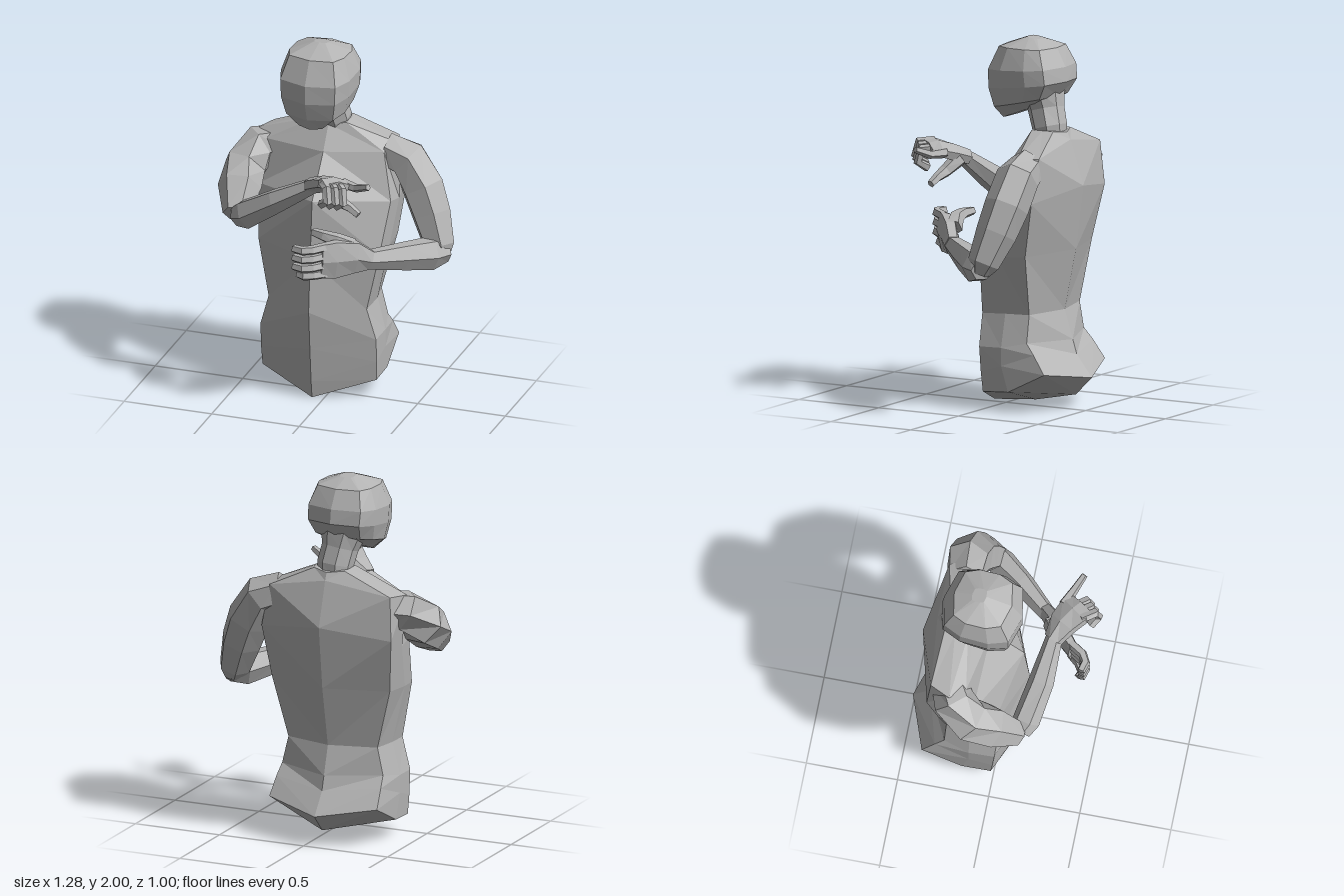
import * as THREE from 'three';

const skin = new THREE.MeshStandardMaterial({ color: 0xb4b4b4 });
skin.name = 'plain grey';
skin.flatShading = true;

const V = (x, y, z) => new THREE.Vector3(x, y, z);

// Joins closed rings of equal length (counter-clockwise about the loft direction), with fan caps.
function loft(name, rings, capStart = true, capEnd = true) {
  const out = [];
  const tri = (...p) => p.forEach((q) => out.push(q.x, q.y, q.z));
  const n = rings[0].length;
  for (let i = 0; i + 1 < rings.length; i++) {
    for (let j = 0; j < n; j++) {
      const k = (j + 1) % n;
      const [a, b, c, d] = [rings[i][j], rings[i][k], rings[i + 1][k], rings[i + 1][j]];
      // diagonals mirror between the two halves of a ring
      if (j < n / 2) { tri(a, b, d); tri(b, c, d); } else { tri(a, b, c); tri(a, c, d); }
    }
  }
  const cap = (ring, flip) => {
    const mid = ring.reduce((s, p) => s.add(p), V(0, 0, 0)).divideScalar(n);
    ring.forEach((p, j) => {
      const q = ring[(j + 1) % n];
      if (flip) tri(mid, q, p); else tri(mid, p, q);
    });
  };
  if (capStart) cap(rings[0], true);
  if (capEnd) cap(rings[rings.length - 1], false);
  const geo = new THREE.BufferGeometry();
  geo.setAttribute('position', new THREE.Float32BufferAttribute(out, 3));
  geo.computeVertexNormals();
  const mesh = new THREE.Mesh(geo, skin);
  mesh.name = name;
  return mesh;
}

// Limb along a path of [x, y, z, radius along side, radius across].
function limb(name, path, sides, side) {
  const pts = path.map((p) => V(p[0], p[1], p[2]));
  const rings = path.map(([, , , ru, rv = ru], i) => {
    const t = pts[Math.min(i + 1, pts.length - 1)].clone().sub(pts[Math.max(i - 1, 0)]).normalize();
    const u = V(...side).addScaledVector(t, -V(...side).dot(t)).normalize();
    const v = t.clone().cross(u);
    return Array.from({ length: sides }, (_, j) => {
      const a = ((j + 0.5) / sides) * Math.PI * 2;
      return pts[i].clone().addScaledVector(u, Math.cos(a) * ru).addScaledVector(v, Math.sin(a) * rv);
    });
  });
  return loft(name, rings);
}

// Full ring from a half outline running front centre, model's left side, back centre.
const mirrorRing = (half) => [
  ...half.map((p) => V(...p)),
  ...half.slice(1, -1).reverse().map(([x, y, z]) => V(-x, y, z)),
];

function makeTorso() {
  const halves = [
    // underside ridge, then hips, waist, ribs, chest, shoulders and collar
    [[0, 0, 0.11], [0, 0.02, -0.15], [0, 0.02, -0.15], [0, 0.07, -0.4], [0, 0.17, -0.5]],
    [[0, 0, 0.11], [0.325, 0.1, -0.01], [0.33, 0.11, -0.17], [0.32, 0.22, -0.39], [0, 0.17, -0.5]],
    [[0, 0.1, 0.125], [0.33, 0.21, 0], [0.335, 0.25, -0.13], [0.31, 0.32, -0.32], [0, 0.29, -0.405]],
    [[0, 0.3, 0.145], [0.33, 0.345, 0.01], [0.335, 0.35, -0.13], [0.3, 0.38, -0.27], [0, 0.37, -0.38]],
    [[0, 0.52, 0.165], [0.28, 0.52, 0.02], [0.29, 0.53, -0.13], [0.265, 0.53, -0.265], [0, 0.53, -0.33]],
    [[0, 0.82, 0.14], [0.345, 0.84, 0], [0.36, 0.85, -0.12], [0.35, 0.86, -0.29], [0, 0.865, -0.4]],
    [[0, 1.15, 0.11], [0.375, 1.12, -0.1], [0.385, 1.1, -0.21], [0.385, 1.16, -0.35], [0, 1.215, -0.445]],
    [[0, 1.37, -0.07], [0.35, 1.37, -0.14], [0.42, 1.395, -0.22], [0.37, 1.4, -0.33], [0, 1.46, -0.365]],
    [[0, 1.5, -0.155], [0.095, 1.51, -0.18], [0.1, 1.51, -0.25], [0.09, 1.51, -0.31], [0, 1.5, -0.345]],
  ];
  const rings = halves.map(mirrorRing);
  // the left shoulder is drawn back
  rings[7].slice(1, 4).forEach((p) => p.add(V(-0.04, 0, -0.035)));
  const torso = loft('torso', rings, false);
  torso.position.x = -0.065;
  return torso;
}

function makeHead() {
  // [front y, back y, half width, front z, back z], from jaw to crown
  const levels = [
    [1.545, 1.62, 0.085, 0.05, -0.15],
    [1.61, 1.69, 0.17, 0.08, -0.28],
    [1.715, 1.77, 0.195, 0.11, -0.335],
    [1.82, 1.85, 0.2, 0.11, -0.325],
    [1.95, 1.95, 0.16, 0.05, -0.27],
    [2.0, 1.99, 0.04, -0.09, -0.17],
  ];
  const rings = levels.map(([yf, yb, w, zf, zb]) => mirrorRing(
    [[0, 0], [0.8, 0.09], [1, 0.33], [1, 0.68], [0.8, 0.91], [0, 1]].map(([sx, s]) =>
      [sx * w, yf + (yb - yf) * s, zf + (zb - zf) * s]),
  ));
  const head = loft('head', rings);
  head.position.x = -0.1;
  head.rotation.y = -0.06;
  return head;
}

function makeRightArm() {
  const arm = new THREE.Group();
  arm.name = 'rightArm';
  arm.add(
    limb('upperArm', [[-0.36, 1.31, -0.24, 0.1], [-0.46, 1.3, -0.2, 0.115], [-0.52, 1.21, -0.1, 0.125],
      [-0.51, 1.14, 0.02, 0.12], [-0.485, 1.04, 0.16, 0.07]], 6, [0, 1, 0]),
    limb('forearm', [[-0.47, 1.035, 0.165, 0.06], [-0.41, 1.06, 0.19, 0.085, 0.075], [-0.22, 1.185, 0.235, 0.07],
      [0, 1.32, 0.265, 0.045]], 6, [0, 1, 0]),
    limb('palm', [[-0.02, 1.315, 0.26, 0.055, 0.045], [0.07, 1.355, 0.3, 0.09, 0.045],
      [0.14, 1.385, 0.35, 0.11, 0.04], [0.18, 1.385, 0.38, 0.085, 0.03]], 6, [0.45, -0.25, -0.75]),
    limb('indexFinger', [[0.17, 1.365, 0.28, 0.03], [0.26, 1.365, 0.32, 0.024], [0.345, 1.4, 0.362, 0.018]], 5, [0, 1, 0]),
    limb('thumb', [[0.07, 1.32, 0.25, 0.045], [0.15, 1.26, 0.29, 0.036], [0.22, 1.235, 0.3, 0.026],
      [0.27, 1.205, 0.31, 0.022]], 5, [0, 1, 0]),
  );
  // curled fingers
  for (let i = 0; i < 3; i++) {
    const [dx, dy, dz] = [-0.034 * i, 0.012 * i, 0.028 * i];
    const curl = [[0.16, 1.385, 0.335], [0.21, 1.38, 0.405], [0.22, 1.31, 0.42], [0.175, 1.275, 0.385]];
    arm.add(limb('curledFinger', curl.map(([x, y, z]) => [x + dx, y + dy, z + dz, 0.026]), 5, [0.6, 0, -0.6]));
  }
  return arm;
}

function makeLeftArm() {
  const arm = new THREE.Group();
  arm.name = 'leftArm';
  arm.add(
    limb('upperArm', [[0.22, 1.35, -0.27, 0.1], [0.345, 1.305, -0.28, 0.12, 0.115], [0.435, 1.16, -0.265, 0.12, 0.125],
      [0.495, 1.02, -0.235, 0.11, 0.115], [0.555, 0.86, -0.19, 0.085, 0.09], [0.57, 0.8, -0.175, 0.05]], 6, [0, 0, 1]),
    limb('forearm', [[0.59, 0.83, -0.2, 0.06], [0.53, 0.835, -0.13, 0.095, 0.08], [0.42, 0.86, 0.01, 0.08, 0.065],
      [0.27, 0.885, 0.175, 0.055, 0.045]], 6, [0, 1, 0]),
    limb('palm', [[0.285, 0.885, 0.165, 0.06, 0.045], [0.22, 0.915, 0.22, 0.1, 0.05],
      [0.13, 0.92, 0.3, 0.12, 0.045], [0.07, 0.925, 0.355, 0.11, 0.035]], 6, [0, 1, 0]),
    limb('thumb', [[0.2, 0.965, 0.21, 0.05], [0.12, 1.005, 0.24, 0.042], [0.05, 1.02, 0.24, 0.032],
      [-0.02, 1.025, 0.22, 0.024]], 5, [0, 1, 0]),
  );
  // four fingers folding towards the body
  for (let i = 0; i < 4; i++) {
    const y = 1.005 - 0.052 * i;
    const short = i === 3 ? 0.02 : 0;
    arm.add(limb('finger', [[0.09, y - 0.005, 0.335, 0.027], [0.04, y, 0.41 - short, 0.027],
      [-0.005, y, 0.435 - short, 0.026], [-0.06 + short, y, 0.42 - short, 0.023]], 5, [0, 1, 0]));
  }
  return arm;
}

export function createModel() {
  const model = new THREE.Group();
  model.name = 'figure';
  const neck = limb('neck', [[-0.065, 1.44, -0.25, 0.09, 0.08], [-0.065, 1.52, -0.235, 0.1, 0.095],
    [-0.08, 1.61, -0.205, 0.1, 0.1], [-0.09, 1.7, -0.185, 0.13, 0.11]], 8, [1, 0, 0]);
  model.add(makeTorso(), neck, makeHead(), makeRightArm(), makeLeftArm());
  return model;
}
